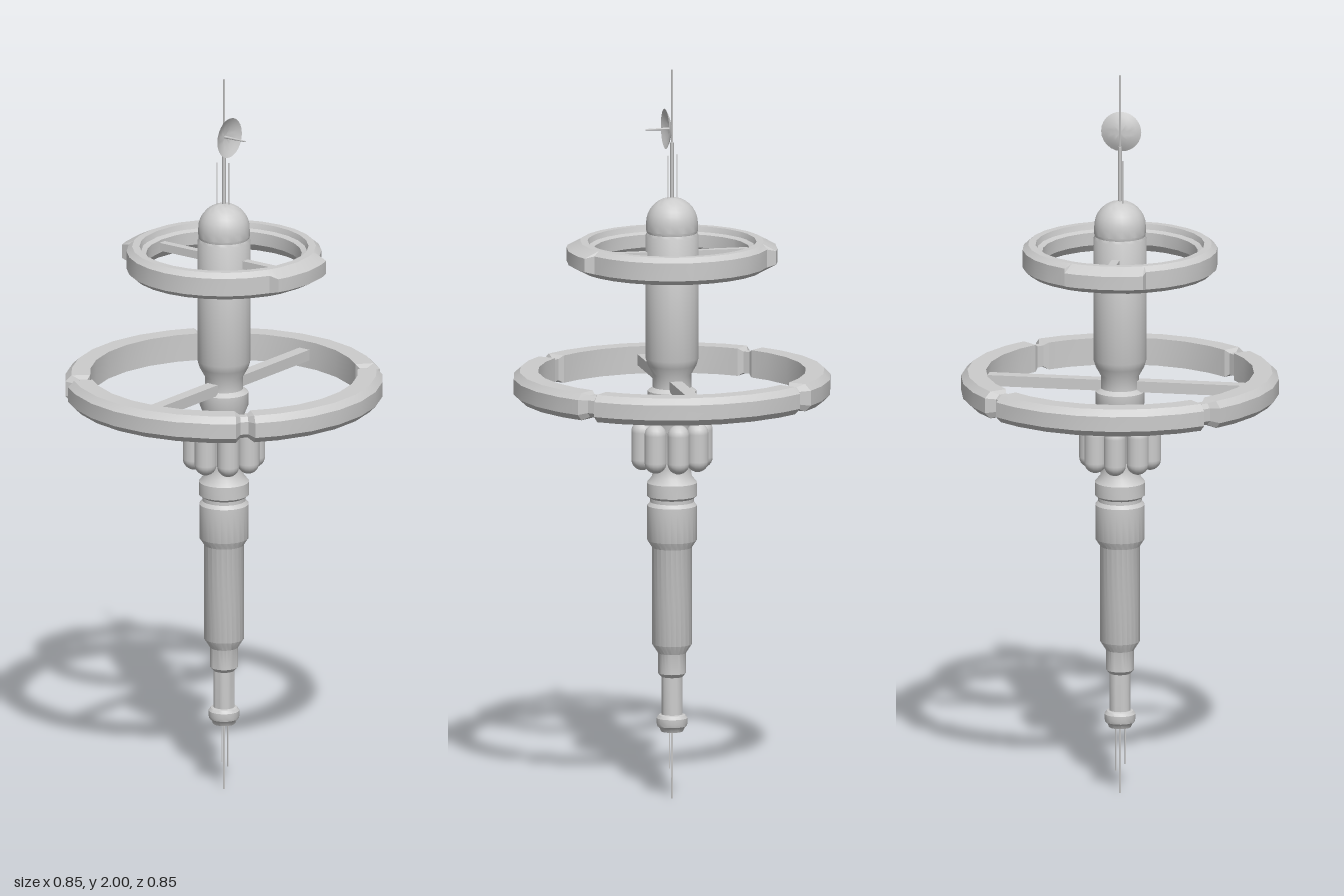
import * as THREE from 'three';
import { toCreasedNormals } from 'three/addons/utils/BufferGeometryUtils.js';

const DEG = Math.PI / 180;
const grey = new THREE.MeshStandardMaterial({ color: 0xcccccc, side: THREE.DoubleSide });

function add(parent, name, geometry, x = 0, y = 0, z = 0) {
  const mesh = new THREE.Mesh(geometry, grey);
  mesh.name = name;
  mesh.position.set(x, y, z);
  parent.add(mesh);
  return mesh;
}

// Thin vertical rod between two heights
function rod(parent, name, x, z, y0, y1, r) {
  return add(parent, name, new THREE.CylinderGeometry(r, r, y1 - y0, 8), x, (y0 + y1) / 2, z);
}

function lathe(points, sides) {
  const profile = points.map(([r, y]) => new THREE.Vector2(r, y));
  return toCreasedNormals(new THREE.LatheGeometry(profile, sides), 35 * DEG);
}

// Closed ring through stations of { angle (degrees), section [[radius, y], ...] }
function loftRing(stations) {
  const n = stations[0].section.length, m = stations.length;
  const positions = [], index = [];
  stations.forEach(({ angle, section }, i) => {
    section.forEach(([r, y], j) => {
      positions.push(r * Math.sin(angle * DEG), y, r * Math.cos(angle * DEG));
      const i2 = (i + 1) % m, j2 = (j + 1) % n;
      const a = i * n + j, b = i2 * n + j, c = i2 * n + j2, d = i * n + j2;
      index.push(a, b, c, a, c, d);
    });
  });
  const g = new THREE.BufferGeometry();
  g.setAttribute('position', new THREE.Float32BufferAttribute(positions, 3));
  g.setIndex(index);
  return toCreasedNormals(g, 20 * DEG);
}

export function createModel() {
  const model = new THREE.Group();
  model.name = 'spaceStation';

  // Central hull, from the lower collar to the dome
  const hull = [
    [0, 0.185], [0.03, 0.185], [0.034, 0.195], [0.04, 0.2], [0.042, 0.208], [0.042, 0.222], [0.036, 0.23],
    [0.029, 0.232], [0.029, 0.335], [0.038, 0.345], [0.038, 0.4], [0.054, 0.425], [0.054, 0.69],
    [0.067, 0.71], [0.067, 0.805], [0.059, 0.815], [0.059, 0.825], [0.068, 0.832], [0.068, 0.868],
    [0.054, 0.885], [0.05, 0.91], [0.05, 1.045], [0.066, 1.085], [0.066, 1.12], [0.052, 1.13],
    [0.052, 1.165], [0.066, 1.19], [0.072, 1.21], [0.072, 1.545], [0.068, 1.553], [0.07, 1.56], [0.07, 1.58],
  ];
  for (let i = 1; i <= 8; i++) {
    const a = (i / 8) * Math.PI / 2;
    hull.push([i === 8 ? 0 : 0.07 * Math.cos(a), 1.58 + 0.07 * Math.sin(a)]);
  }
  add(model, 'hull', lathe(hull, 24));

  // Capsule tanks round the waist
  const tanks = new THREE.Group();
  tanks.name = 'tanks';
  model.add(tanks);
  for (let i = 0; i < 8; i++) {
    const a = i * Math.PI / 4;
    add(tanks, 'tank', new THREE.CapsuleGeometry(0.03, 0.075, 6, 16),
      0.082 * Math.sin(a), 0.972, 0.082 * Math.cos(a));
  }

  // Large ring: four arcs joined by narrow necks at the diagonals
  const full = [[0.36, 1.1], [0.41, 1.1], [0.427, 1.117], [0.427, 1.158], [0.41, 1.175], [0.36, 1.175]]
    .map(([r, y]) => [r * 1.005, y]);
  const neck = [[0.37, 1.108], [0.392, 1.108], [0.403, 1.12], [0.403, 1.155], [0.392, 1.167], [0.37, 1.167]];
  const largeStations = [];
  for (let q = 0; q < 4; q++) {
    for (const a of [-43.5, -41.5, -32.1, -19.3, -6.43, 6.43, 19.3, 32.1, 41.5, 43.5]) {
      largeStations.push({ angle: q * 90 + a, section: Math.abs(a) > 42 ? neck : full });
    }
  }
  add(model, 'largeRing', loftRing(largeStations));
  add(model, 'largeRingSpoke', new THREE.BoxGeometry(0.73, 0.03, 0.034), 0, 1.138, 0);

  // Small ring with bulging panels at the front and back
  const plain = [[0.21, 1.475], [0.225, 1.455], [0.248, 1.455], [0.263, 1.468], [0.263, 1.517],
    [0.248, 1.53], [0.228, 1.53], [0.224, 1.515], [0.21, 1.51]];
  const bulge = plain.map((p) => [...p]);
  bulge[3] = [0.285, 1.474];
  bulge[4] = [0.285, 1.511];
  const smallStations = [];
  for (let h = 0; h < 2; h++) {
    for (const a of [-22, -15, 0, 15, 22]) smallStations.push({ angle: h * 180 + a, section: bulge });
    for (let a = 25; a <= 155; a += 13) smallStations.push({ angle: h * 180 + a, section: plain });
  }
  add(model, 'smallRing', loftRing(smallStations));
  add(model, 'smallRingSpoke', new THREE.BoxGeometry(0.022, 0.022, 0.43), 0, 1.492, 0);

  // Upper mast and aerials
  rod(model, 'mastBase', 0, 0, 1.64, 1.8, 0.005);
  rod(model, 'mast', 0, 0, 1.79, 2, 0.0025);
  rod(model, 'upperAerial', -0.01, -0.016, 1.63, 1.765, 0.0018);
  rod(model, 'upperAerial', 0.005, 0.012, 1.63, 1.765, 0.0018);

  // Dish facing forward, with its feed spike
  const dish = new THREE.Group();
  dish.name = 'dish';
  dish.position.set(0, 1.838, 0.003);
  dish.rotation.x = Math.PI / 2;
  model.add(dish);
  const bowl = [0, 0.014, 0.028, 0.042, 0.055].map((r) => [r, 0.016 * (r / 0.055) ** 2]);
  add(dish, 'dishBowl', lathe(bowl, 24));
  add(dish, 'dishFeed', new THREE.CylinderGeometry(0.002, 0.004, 0.07, 8), 0, 0.035, 0);

  // Lower aerials
  rod(model, 'lowerMast', 0, 0, 0, 0.2, 0.003);
  rod(model, 'lowerAerial', -0.014, 0.004, 0.08, 0.2, 0.0018);
  rod(model, 'lowerAerial', 0.012, 0.004, 0.06, 0.2, 0.0018);

  return model;
}
